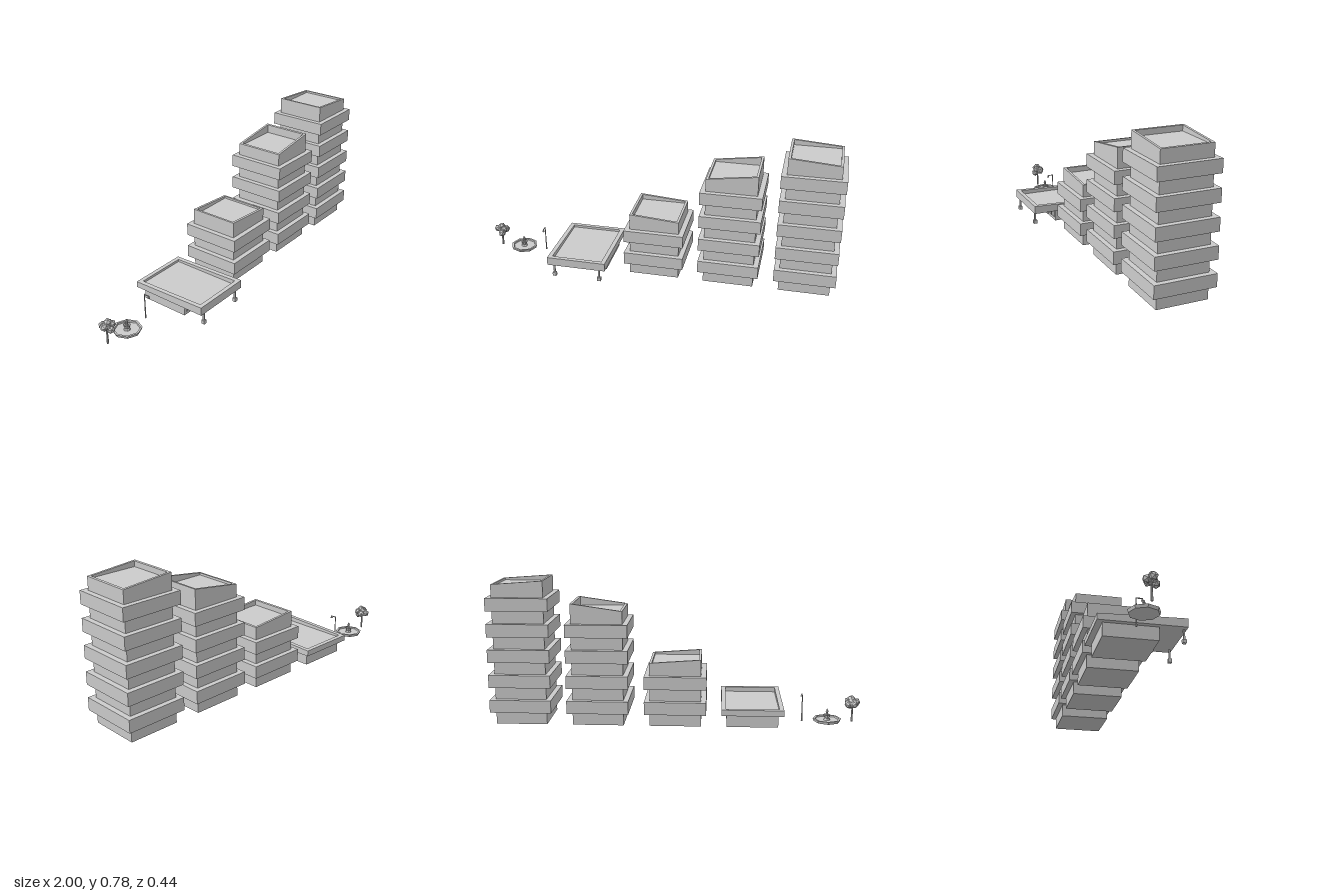
import * as THREE from 'three';

const material = new THREE.MeshStandardMaterial({ color: 0xcccccc, flatShading: true });
const STOREY = 0.069;

function add(parent, name, geometry, x = 0, y = 0, z = 0) {
  const mesh = new THREE.Mesh(geometry, material);
  mesh.name = name;
  mesh.position.set(x, y, z);
  parent.add(mesh);
  return mesh;
}

// Box standing on the given height
function block(parent, name, w, h, d, x, y, z) {
  return add(parent, name, new THREE.BoxGeometry(w, h, d), x, y + h / 2, z);
}

function group(parent, name, x, z) {
  const g = new THREE.Group();
  g.name = name;
  g.position.set(x, 0, z);
  parent.add(g);
  return g;
}

function rectangle(Type, w, d) {
  return new Type([[-1, -1], [1, -1], [1, 1], [-1, 1]].map(([a, b]) => new THREE.Vector2(a * w / 2, b * d / 2)));
}

// Rectangular rim whose top height follows a rule of x and z
function rim(parent, w, d, thickness, bottom, topAt) {
  const shape = rectangle(THREE.Shape, w, d);
  shape.holes.push(rectangle(THREE.Path, w - 2 * thickness, d - 2 * thickness));
  const geometry = new THREE.ExtrudeGeometry(shape, { depth: 1, bevelEnabled: false }).rotateX(-Math.PI / 2);
  const p = geometry.attributes.position;
  for (let i = 0; i < p.count; i++) {
    p.setY(i, p.getY(i) > 0.5 ? topAt(p.getX(i), p.getZ(i)) : bottom);
  }
  geometry.computeVertexNormals();
  add(parent, 'parapet', geometry);
}

// Tower with projecting storeys and a sloping parapet
function tower(parent, x, bands, riseLeft, riseRight) {
  const g = group(parent, 'tower', x, -0.053);
  const width = 0.275, top = (2 * bands + 1) * STOREY, floor = top - 0.01;
  block(g, 'towerCore', width, floor, width, 0, 0, 0);
  for (let i = 0; i < bands; i++) {
    block(g, 'projectingStorey', 0.331, STOREY, 0.331, 0, (2 * i + 1) * STOREY, 0);
  }
  rim(g, width, width, 0.013, floor, (px) => top + THREE.MathUtils.lerp(riseRight, riseLeft, px / width + 0.5));
}

// Low hall with an overhanging roof on two columns
function hall(parent) {
  const g = group(parent, 'hall', -0.41, 0);
  block(g, 'hallWalls', 0.275, 0.07, 0.275, 0, 0, -0.053);
  block(g, 'roofSlab', 0.331, 0.02, 0.443, 0, 0.07, 0);
  rim(g, 0.331, 0.443, 0.024, 0.09, (x, z) => 0.109 + 0.013 * z / 0.443 * 1.0);

  for (const side of [-1, 1]) {
    const x = side * 0.129;
    block(g, 'columnFoot', 0.02, 0.02, 0.019, x, 0, 0.208);
    block(g, 'columnShaft', 0.009, 0.05, 0.009, x, 0.02, 0.208);
  }

  // Windows and door on the front wall
  for (const x of [-0.1, -0.052, 0.052, 0.1]) frame(g, 'windowFrame', x, 0.015, 0.042, 0.048);
  frame(g, 'doorFrame', 0, 0, 0.042, 0.044);
}

function frame(parent, name, x, y, w, h) {
  const shape = rectangle(THREE.Shape, w, h);
  shape.holes.push(rectangle(THREE.Path, w - 0.008, h - 0.008));
  const geometry = new THREE.ExtrudeGeometry(shape, { depth: 0.003, bevelEnabled: false });
  add(parent, name, geometry, x, y + h / 2, 0.0845);
}

// Street lamp with a short arm and hanging head
function lamp(parent) {
  const g = group(parent, 'streetLamp', -0.685, -0.06);
  add(g, 'lampBase', new THREE.CylinderGeometry(0.004, 0.005, 0.012, 8), 0, 0.006, 0);
  add(g, 'lampPost', new THREE.CylinderGeometry(0.0025, 0.0035, 0.145, 8), 0, 0.0725, 0);
  block(g, 'lampArm', 0.004, 0.004, 0.034, 0, 0.141, 0.015);
  add(g, 'lampHead', new THREE.CylinderGeometry(0.003, 0.007, 0.011, 8), 0, 0.136, 0.03);
}

// Octagonal fountain: basin, bowl and spout turned as one profile each
function fountain(parent) {
  const g = group(parent, 'fountain', -0.822, -0.058);
  const lathe = (name, points) =>
    add(g, name, new THREE.LatheGeometry(points.map(([r, y]) => new THREE.Vector2(r, y)), 8).toNonIndexed());
  lathe('basin', [[0, 0], [0.072, 0], [0.077, 0.015], [0.066, 0.015], [0.064, 0.007], [0, 0.007]]);
  lathe('bowl', [[0.018, 0.007], [0.013, 0.018], [0.02, 0.036], [0.016, 0.036], [0.01, 0.03], [0, 0.03]]);
  lathe('spout', [[0.008, 0.03], [0.006, 0.05], [0.008, 0.054], [0.003, 0.066], [0, 0.07]]);
}

// Tree with a crown of faceted clumps
function tree(parent) {
  const g = group(parent, 'tree', -0.957, -0.057);
  add(g, 'trunk', new THREE.CylinderGeometry(0.004, 0.006, 0.09, 6), 0, 0.045, 0);
  const clumps = [
    [0, 0.105, 0, 0.029], [-0.021, 0.108, 0.004, 0.022], [0.022, 0.1, -0.01, 0.023],
    [0.004, 0.125, 0.006, 0.021], [0.008, 0.086, 0.02, 0.022], [-0.005, 0.1, -0.022, 0.022],
    [0.022, 0.111, 0.016, 0.02],
  ];
  clumps.forEach(([x, y, z, r], i) => {
    add(g, 'foliage', new THREE.IcosahedronGeometry(r, 0), x, y, z).rotation.set(i, i * 0.7, 0);
  });
}

export function createModel() {
  const model = new THREE.Group();
  model.name = 'cityBlock';
  tower(model, 0.003, 2, 0, 0.02);
  tower(model, 0.418, 4, 0.039, 0);
  tower(model, 0.833, 5, 0, 0.02);
  hall(model);
  lamp(model);
  fountain(model);
  tree(model);
  return model;
}
